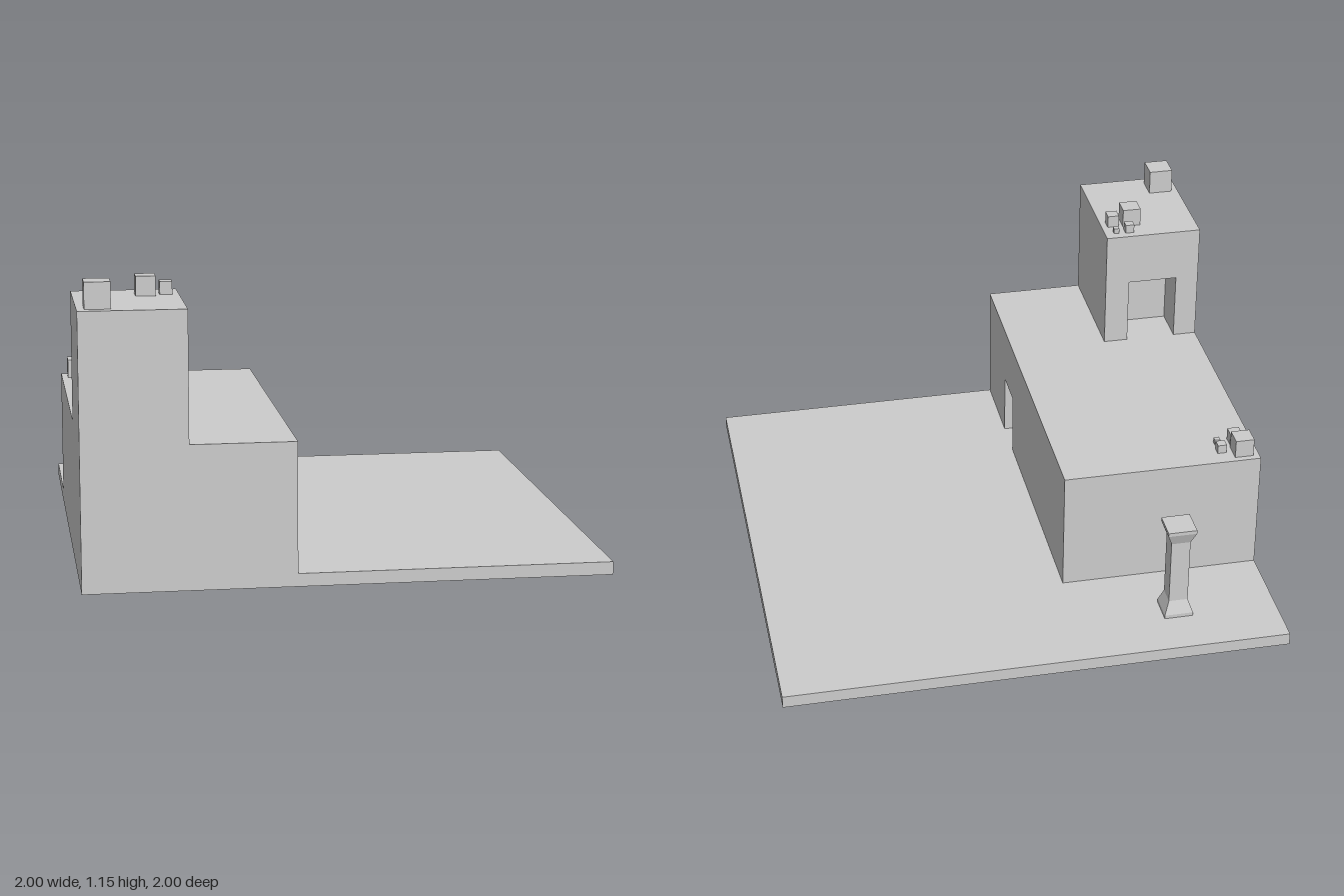
import * as THREE from 'three';

const material = new THREE.MeshStandardMaterial({ color: 0xcccccc, flatShading: true });

function add(parent, name, geometry, x = 0, y = 0, z = 0) {
  const mesh = new THREE.Mesh(geometry, material);
  mesh.name = name;
  mesh.position.set(x, y, z);
  parent.add(mesh);
  return mesh;
}

// Box given by its minimum and maximum corners
function block(parent, name, [x0, y0, z0], [x1, y1, z1]) {
  return add(parent, name, new THREE.BoxGeometry(x1 - x0, y1 - y0, z1 - z0),
    (x0 + x1) / 2, (y0 + y1) / 2, (z0 + z1) / 2);
}

// Wall slab from u0 to u1 with a doorway cut up from its foot
function doorWall(u0, u1, height, d0, d1, doorHeight, depth) {
  const shape = new THREE.Shape([
    [u0, 0], [d0, 0], [d0, doorHeight], [d1, doorHeight], [d1, 0],
    [u1, 0], [u1, height], [u0, height],
  ].map(([u, v]) => new THREE.Vector2(u, v)));
  return new THREE.ExtrudeGeometry(shape, { depth, bevelEnabled: false });
}

// One large crate with three smaller ones beside it
function crateCluster(name, x, y, z, turn) {
  const group = new THREE.Group();
  group.name = name;
  const crates = [
    [0, 0, 0.075, 0.075],
    [0.078, -0.01, 0.047, 0.05],
    [0.022, -0.08, 0.036, 0.036],
    [0.078, -0.082, 0.022, 0.022],
  ];
  for (const [cx, cz, size, height] of crates) {
    add(group, 'crate', new THREE.BoxGeometry(size, height, size), cx, height / 2, cz);
  }
  group.position.set(x, y, z);
  group.rotation.y = turn;
  return group;
}

// Square pillar with flared foot and cap
function pillar() {
  const profile = [
    [0, 0], [0.057, 0], [0.057, 0.015], [0.038, 0.07], [0.038, 0.345],
    [0.057, 0.395], [0.057, 0.41], [0, 0.41],
  ].map(([r, y]) => new THREE.Vector2(r * Math.SQRT2, y));
  const geometry = new THREE.LatheGeometry(profile, 4).rotateY(Math.PI / 4).toNonIndexed();
  geometry.computeVertexNormals();
  return geometry;
}

export function createModel() {
  const model = new THREE.Group();
  model.name = 'courtyardBuilding';

  block(model, 'ground', [-1, 0, -1], [1, 0.05, 1]);

  // Long lower block, doorway facing the yard
  const lower = new THREE.Group();
  lower.name = 'lowerBlock';
  block(lower, 'lowerBody', [-1, 0.05, -0.5], [-0.37, 0.55, 1]);
  add(lower, 'lowerDoorWall', doorWall(-1, 0.5, 0.5, -0.667, -0.5, 0.26, 0.17),
    -0.37, 0.05, 0).rotation.y = Math.PI / 2;
  model.add(lower);

  // Tower, doorway opening backwards onto the roof
  const tower = new THREE.Group();
  tower.name = 'tower';
  block(tower, 'towerBody', [-1, 0.55, 0.66], [-0.6, 1.05, 1]);
  add(tower, 'towerDoorWall', doorWall(0.6, 1, 0.5, 0.7, 0.905, 0.28, 0.16),
    0, 0.55, 0.66).rotation.y = Math.PI;
  model.add(tower);

  // Crates on the roofs
  block(model, 'towerCrate', [-0.972, 1.05, 0.865], [-0.875, 1.15, 0.962]);
  model.add(crateCluster('towerCrates', -0.727, 1.05, 0.63, 0));
  model.add(crateCluster('roofCrates', -0.938, 0.55, -0.438, -Math.PI / 2));

  add(model, 'pillar', pillar(), -0.6, 0.05, -0.753);

  return model;
}
